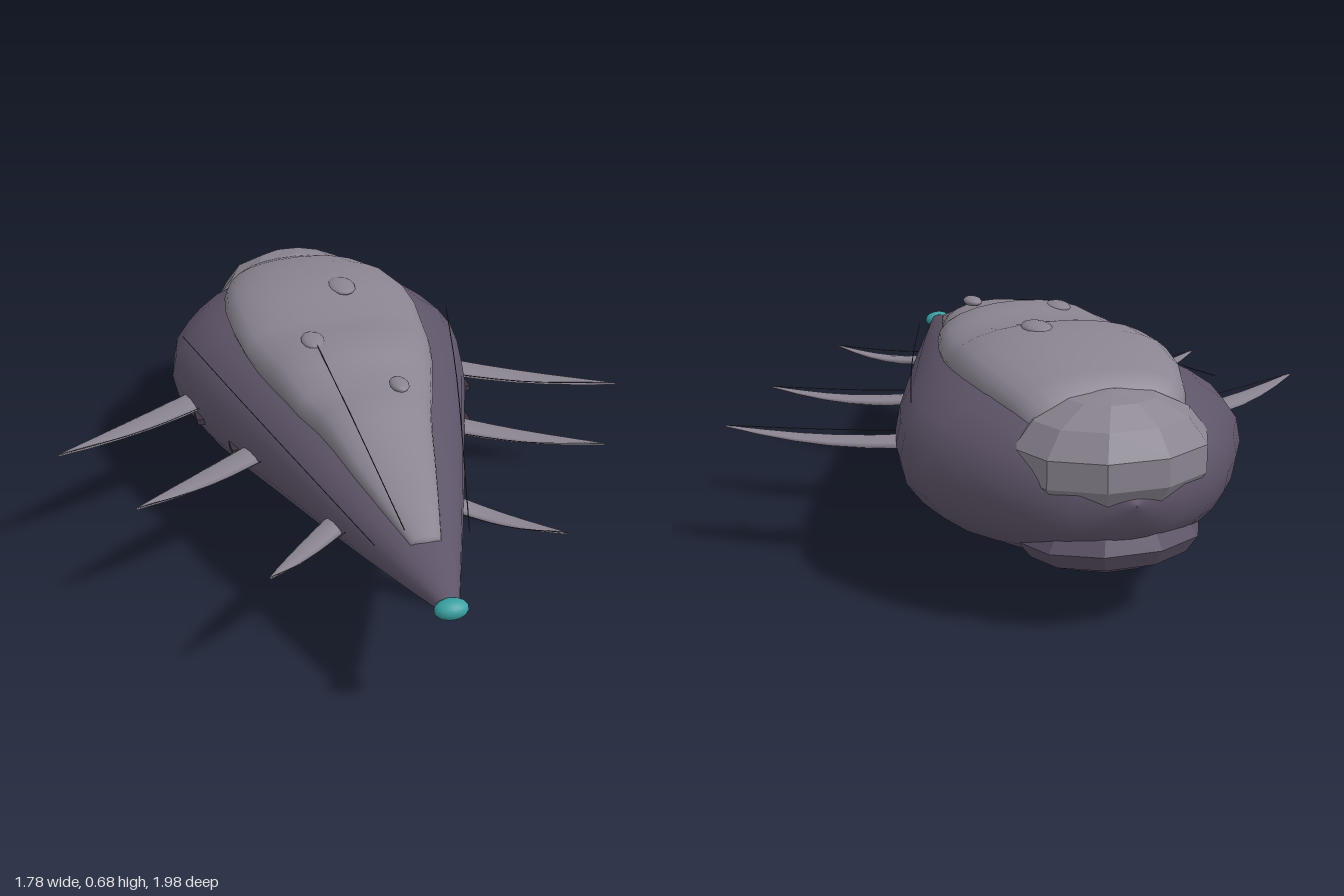
import * as THREE from 'three';

const material = (color, flatShading = false) =>
  new THREE.MeshStandardMaterial({ color, flatShading });
const dark = material(0x5e5468), darkFlat = material(0x5a5064, true);
const plate = material(0x8a8490), plateFlat = material(0x8a8490, true);
const teal = material(0x3aa0a2), trim = material(0x3a343f, true);

// Skin a list of closed rings, each an array of Vector3
function loft(rings) {
  const n = rings[0].length, index = [];
  for (let i = 0; i < rings.length - 1; i++)
    for (let j = 0; j < n; j++) {
      const a = i * n + j, b = i * n + (j + 1) % n;
      index.push(a, a + n, b, b, a + n, b + n);
    }
  const geo = new THREE.BufferGeometry().setFromPoints(rings.flat());
  geo.setIndex(index);
  geo.computeVertexNormals();
  return geo;
}

// Rounded cross-section from [z, half width, top y, bottom y]
function section([z, w, top, bottom], sides) {
  const soft = v => Math.sign(v) * Math.abs(v) ** 0.93;
  return Array.from({ length: sides }, (_, j) => {
    const a = (j / sides) * Math.PI * 2;
    return new THREE.Vector3(w * soft(Math.cos(a)),
      (top + bottom) / 2 + (top - bottom) / 2 * soft(Math.sin(a)), z);
  });
}

// Curved tapering fin; side is 1 or -1
function finGeometry(side, root, tip, width) {
  const rings = [], steps = 6;
  const t = new THREE.Vector2(tip[0] - root[0], tip[1] - root[1]).normalize();
  for (let i = 0; i <= steps; i++) {
    const u = i / steps, bow = Math.sin(Math.PI * u);
    const x = root[0] + (tip[0] - root[0]) * u;
    const z = root[1] + (tip[1] - root[1]) * u - 0.012 * bow;
    const y = 0.365 - 0.018 * bow;
    const w = width * (1 - 0.9 * u ** 2.2), h = 0.015 * (1 - 0.85 * u);
    rings.push(Array.from({ length: 8 }, (_, j) => {
      const a = (j / 8) * Math.PI * 2, c = Math.cos(a) * w;
      return new THREE.Vector3(side * (x - t.y * c), y + side * Math.sin(a) * h, z + t.x * c);
    }));
  }
  return loft(rings);
}

export function createModel() {
  const model = new THREE.Group();
  const add = (name, geo, mat, pos = [0, 0, 0], scale = [1, 1, 1]) => {
    const mesh = new THREE.Mesh(geo, mat);
    mesh.name = name;
    mesh.position.set(...pos);
    mesh.scale.set(...scale);
    model.add(mesh);
    return mesh;
  };
  const wire = (name, ...points) => add(name, new THREE.TubeGeometry(
    new THREE.CatmullRomCurve3(points.map(p => new THREE.Vector3(...p))), 8, 0.0015, 4), trim);

  // Teardrop hull
  add('hull', loft([
    [0.96, 0.025, 0.388, 0.348], [0.8, 0.083, 0.422, 0.308], [0.6, 0.155, 0.46, 0.265],
    [0.4, 0.225, 0.50, 0.225], [0.2, 0.292, 0.54, 0.186], [0, 0.36, 0.575, 0.148],
    [-0.2, 0.428, 0.60, 0.122], [-0.35, 0.462, 0.61, 0.115], [-0.47, 0.478, 0.612, 0.115],
    [-0.6, 0.453, 0.605, 0.122], [-0.71, 0.39, 0.585, 0.14], [-0.8, 0.325, 0.55, 0.165],
    [-0.88, 0.245, 0.505, 0.205], [-0.94, 0.15, 0.45, 0.26], [-0.97, 0.002, 0.36, 0.355],
  ].map(s => section(s, 24))), dark);

  // Rippled shell along the back
  add('dorsalShell', loft([
    [0.755, 0.002, 0.432, 0.428], [0.75, 0.042, 0.448, 0.405], [0.6, 0.082, 0.492, 0.42],
    [0.45, 0.12, 0.535, 0.43], [0.33, 0.148, 0.577, 0.44], [0.25, 0.17, 0.605, 0.44],
    [0.15, 0.205, 0.602, 0.45], [0.07, 0.228, 0.636, 0.45], [0, 0.25, 0.658, 0.45],
    [-0.1, 0.274, 0.652, 0.46], [-0.2, 0.288, 0.643, 0.47], [-0.32, 0.299, 0.671, 0.47],
    [-0.45, 0.298, 0.674, 0.475], [-0.58, 0.278, 0.661, 0.47], [-0.7, 0.24, 0.633, 0.46],
    [-0.78, 0.205, 0.602, 0.45], [-0.8, 0.002, 0.53, 0.52],
  ].map(s => section(s, 24))), plate);

  // Faceted tail armour and lower tail pod
  add('tailArmour', new THREE.SphereGeometry(1, 10, 7), plateFlat, [0, 0.44, -0.79], [0.27, 0.168, 0.205]);
  add('tailPod', new THREE.SphereGeometry(1, 10, 6), darkFlat, [0, 0.225, -0.79], [0.25, 0.09, 0.175]);

  // Nose light and belly pod
  add('noseLight', new THREE.SphereGeometry(1, 16, 10), teal, [0, 0.37, 0.968], [0.046, 0.027, 0.032]);
  add('bellyPod', new THREE.SphereGeometry(1, 10, 8), plateFlat, [0, 0.06, -0.35], [0.105, 0.06, 0.125]);

  // Domes on the shell
  for (const [x, y, z, r] of [[0.06, 0.668, -0.36, 0.042], [-0.107, 0.645, -0.05, 0.036], [0.08, 0.612, 0.22, 0.028]])
    add('shellDome', new THREE.SphereGeometry(1, 12, 8), plate, [x, y, z], [r, 0.014, r * 1.6]);

  // Three pairs of fins with thin stay wires
  const fins = [
    [[0.33, -0.35], [0.885, -0.05], 0.057],
    [[0.26, 0.04], [0.70, 0.298], 0.05],
    [[0.13, 0.46], [0.412, 0.718], 0.04],
  ];
  for (const side of [1, -1]) {
    for (const [root, tip, width] of fins) {
      add('fin', finGeometry(side, root, tip, width), plate);
      wire('finWire', [side * root[0], 0.37, root[1] + 0.07],
        [side * (root[0] + tip[0]) / 2, 0.36, (root[1] + tip[1]) / 2 + 0.05],
        [side * tip[0], 0.368, tip[1]]);
    }
    wire('flankWire', [side * 0.13, 0.42, 0.72], [side * 0.33, 0.485, 0], [side * 0.44, 0.51, -0.45]);
    // Small fittings on the flanks
    for (const [x, z] of [[0.36, -0.02], [0.43, -0.23]])
      add('flankFitting', new THREE.BoxGeometry(0.03, 0.018, 0.06), trim, [side * x, 0.332, z]);
  }
  wire('shellWire', [-0.05, 0.455, 0.72], [-0.08, 0.56, 0.4], [-0.107, 0.655, -0.02]);
  add('bellyFitting', new THREE.BoxGeometry(0.05, 0.02, 0.05), trim, [0.17, 0.185, 0.08]);

  return model;
}
